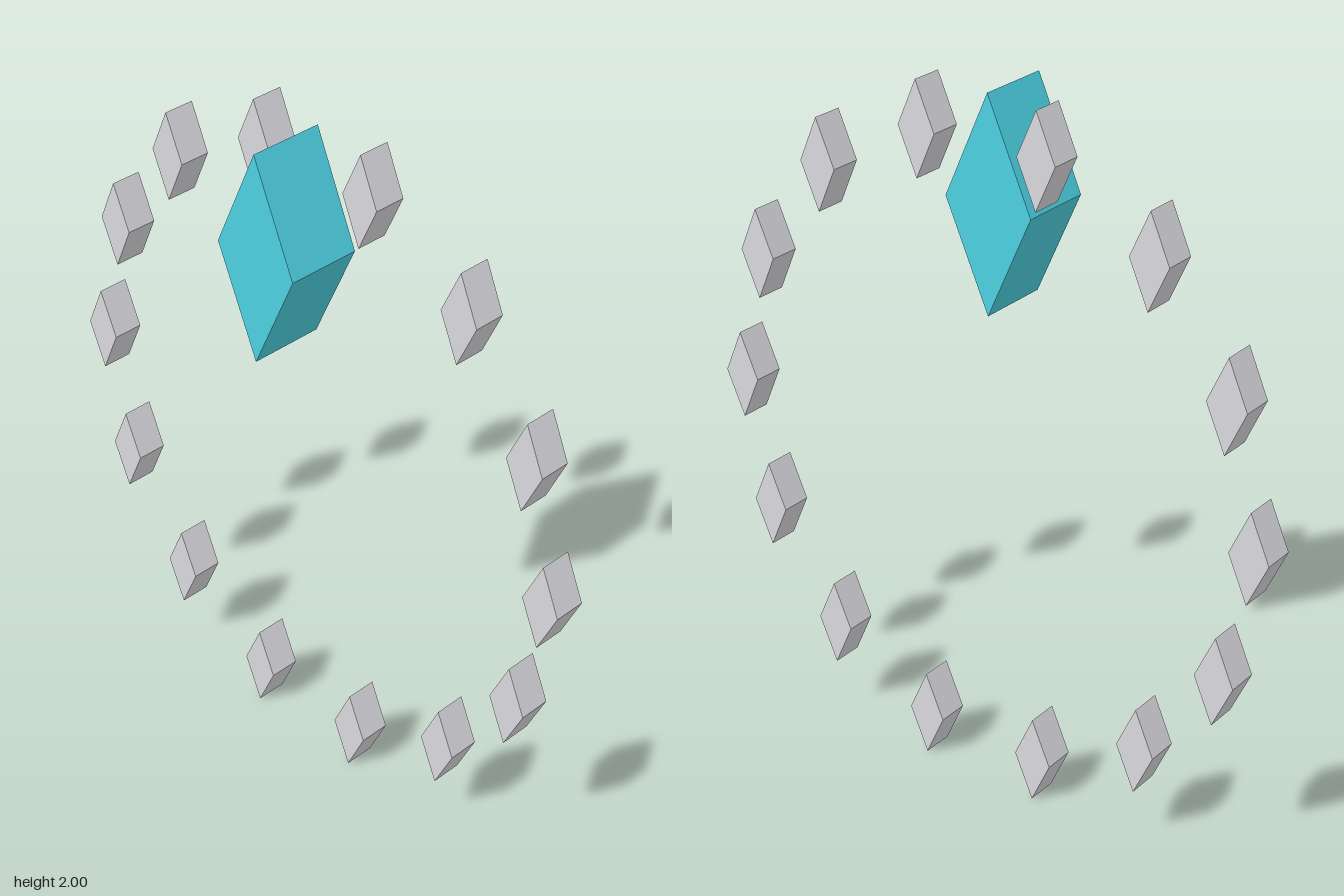
import * as THREE from 'three';

const silver = new THREE.MeshStandardMaterial({ name: 'silver', color: 0xd8d8dd });
const turquoise = new THREE.MeshStandardMaterial({ name: 'turquoise', color: 0x4dd0e1 });

// Upright rhombus prism, centred in x and y, from zBack to zFront
function rhombus(halfWidth, halfHeight, zBack, zFront) {
  const shape = new THREE.Shape([
    new THREE.Vector2(halfWidth, 0),
    new THREE.Vector2(0, halfHeight),
    new THREE.Vector2(-halfWidth, 0),
    new THREE.Vector2(0, -halfHeight),
  ]);
  const geometry = new THREE.ExtrudeGeometry(shape, { depth: zFront - zBack, bevelEnabled: false });
  return geometry.translate(0, 0, zBack);
}

export function createModel() {
  const model = new THREE.Group();
  model.name = 'diamondRing';

  // Ring of small stones, all kept upright on an oval
  const ring = new THREE.Group();
  ring.name = 'stoneRing';
  const stoneGeometry = rhombus(0.058, 0.13, -0.13, -0.04);
  const count = 14;
  for (let i = 0; i < count; i++) {
    const angle = (i / count) * Math.PI * 2;
    const stone = new THREE.Mesh(stoneGeometry, silver);
    stone.name = `smallStone${i + 1}`;
    stone.position.set(0.834 * Math.cos(angle), 1 + 0.892 * Math.sin(angle), 0);
    ring.add(stone);
  }
  model.add(ring);

  // Large stone at the top of the ring
  const centreStone = new THREE.Mesh(rhombus(0.134, 0.298, -0.08, 0.13), turquoise);
  centreStone.name = 'largeStone';
  centreStone.position.y = 1.692;
  model.add(centreStone);

  return model;
}
